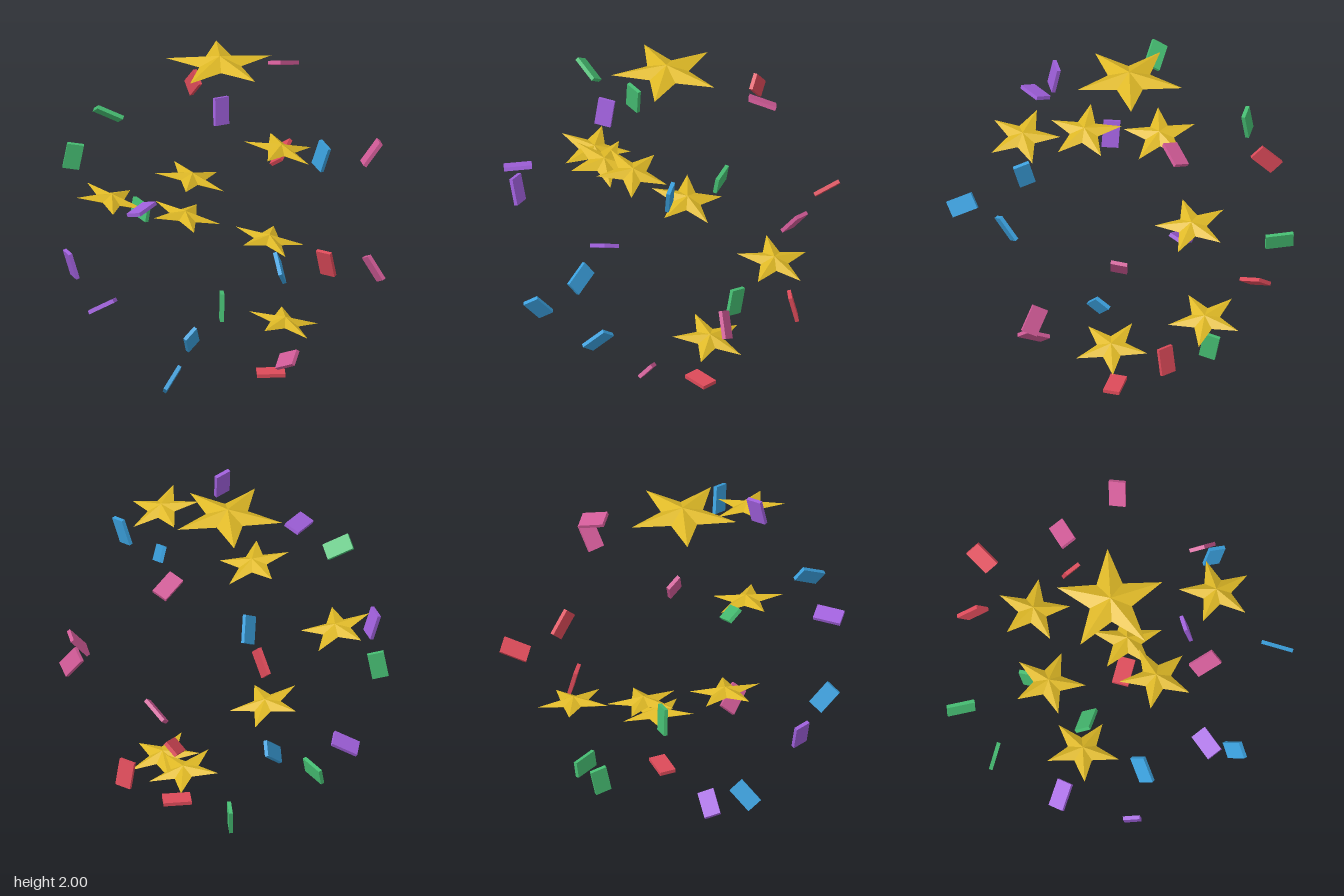
import * as THREE from 'three';

const mat = (name, color) => {
  const m = new THREE.MeshStandardMaterial({ color });
  m.name = name;
  return m;
};

// Faceted five-pointed star, one tip towards -z, a peak above and below
function starGeometry(radius, halfHeight) {
  const rim = [];
  for (let k = 0; k < 10; k++) {
    const a = -Math.PI / 2 + (k * Math.PI) / 5;
    const r = k % 2 ? radius * 0.4 : radius;
    rim.push([Math.cos(a) * r, 0, Math.sin(a) * r]);
  }
  const pos = [];
  rim.forEach((p, k) => {
    const q = rim[(k + 1) % 10];
    pos.push(0, halfHeight, 0, ...q, ...p, 0, -halfHeight, 0, ...p, ...q);
  });
  const g = new THREE.BufferGeometry();
  g.setAttribute('position', new THREE.Float32BufferAttribute(pos, 3));
  g.computeVertexNormals();
  return g;
}

export function createModel() {
  const model = new THREE.Group();
  model.name = 'starBurst';
  const gold = mat('gold', 0xdfb926);
  const colours = [
    mat('red', 0xdc4a59), mat('blue', 0x3a9fdc), mat('green', 0x46bd72),
    mat('pink', 0xd05a96), mat('purple', 0xa060dc),
  ];
  const CX = -0.015, CZ = -0.02; // axis of the spiral

  // Large star on top
  const top = new THREE.Mesh(starGeometry(0.315, 0.05), gold);
  top.name = 'topStar';
  top.position.set(CX, 1.95, CZ);
  model.add(top);

  // Six small tilted stars winding upwards
  const small = starGeometry(0.213, 0.034);
  for (let i = 0; i < 6; i++) {
    const a = (-i * Math.PI) / 3, r = i % 2 ? 0.62 : 0.365;
    const star = new THREE.Mesh(small, gold);
    star.name = `smallStar${i + 1}`;
    star.position.set(CX + Math.cos(a) * r, 0.325 + i * 0.266, CZ + Math.sin(a) * r);
    star.rotation.set(0, (-i * Math.PI) / 15, -0.22, 'ZYX');
    model.add(star);
  }

  // Tumbling confetti: direction of the long edge, then of the short edge
  const paper = new THREE.BoxGeometry(0.16, 0.022, 0.095);
  const edges = [
    [1, 0, 0, 0, 0, 1],
    [0.56, 0.69, -0.5, 0, -0.58, -0.81],
    [0.03, 0.98, -0.19, 0, 0.19, 0.98],
    [0.55, 0.46, 0.69, -0.33, -0.63, 0.69],
    [0.87, 0.47, 0.1, 0.25, -0.3, -0.9],
    [0.17, -0.94, -0.17, 0.8, 0.04, 0.6],
    [4, -23, -19, -12, -9.5, 9],
    [0.46, 0, 0.88, 0.15, 0.98, -0.08],
    [15, -24, 8, -5, -8, -14],
    [0.27, -0.96, 0, 0.3, 0.08, 0.95],
    [12, 12, -25, 10, 10, 9.6],
    [-4, 14, -25, 5, -13.5, -8.5],
    [-0.17, -0.98, -0.1, 0.98, -0.17, 0],
    [18, 23.5, -5, -2, -2, -17],
    [0.63, 0.08, -0.77, 0.7, 0.3, 0.63],
    [-8, -21, -19, 5, -12, 11],
    [-8, -29, -5, 8.7, -5, 15],
    [27, -13, 1, -5, -9, -14],
    [21, -10, -19.5, 11.5, 5, 10.5],
    [0, -29, 6, 15, -2, -9],
  ];
  edges.forEach((e, i) => {
    const long = new THREE.Vector3(e[0], e[1], e[2]).normalize();
    const normal = new THREE.Vector3(e[3], e[4], e[5]).cross(long).normalize();
    const short = new THREE.Vector3().crossVectors(long, normal);
    const piece = new THREE.Mesh(paper, colours[i % 5]);
    piece.name = `confetti${i + 1}`;
    piece.quaternion.setFromRotationMatrix(new THREE.Matrix4().makeBasis(long, normal, short));
    const a = i * 2.39996, r = 0.29 + 0.66 * Math.sin(i * 0.1525);
    piece.position.set(CX + Math.cos(a) * r, 0.0125 + i * 0.0975, CZ + Math.sin(a) * r);
    model.add(piece);
  });
  return model;
}
